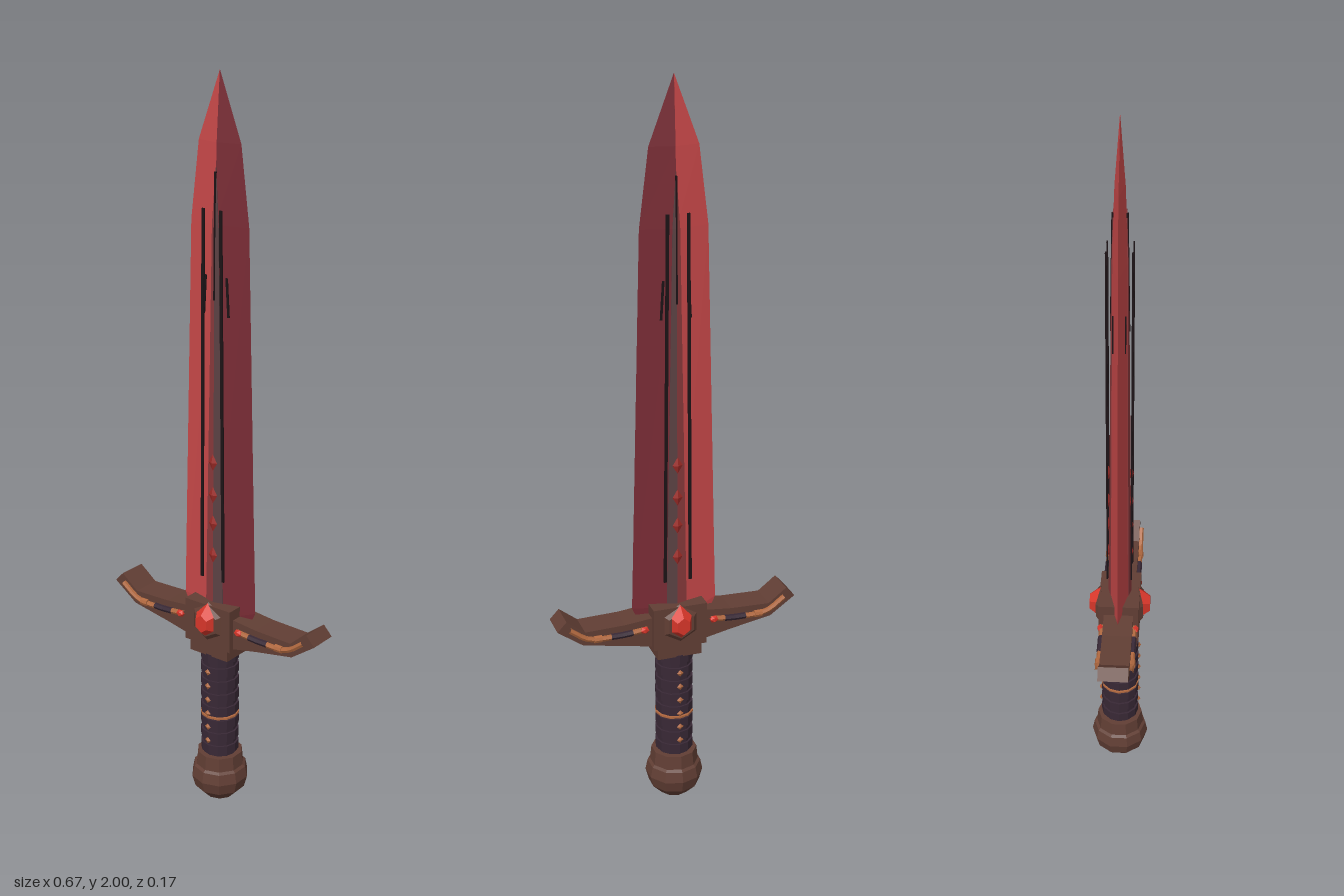
import * as THREE from 'three';

const mat = (name, color) => Object.assign(
  new THREE.MeshStandardMaterial({ color, flatShading: true }), { name });

// Joins equal-length [x, z] cross-sections at rising heights into a closed flat-faced solid.
function loft(rings) {
  const pos = [], n = rings[0].pts.length;
  const p = (r, i) => [r.pts[i % n][0], r.y, r.pts[i % n][1]];
  const tri = (a, b, c) => pos.push(...a, ...b, ...c);
  for (let k = 0; k < rings.length - 1; k++) {
    const lo = rings[k], hi = rings[k + 1];
    for (let i = 0; i < n; i++) {
      tri(p(lo, i), p(hi, i), p(lo, i + 1));
      tri(p(lo, i + 1), p(hi, i), p(hi, i + 1));
    }
  }
  const first = rings[0], last = rings[rings.length - 1];
  for (let i = 1; i < n - 1; i++) {
    tri(p(first, 0), p(first, i), p(first, i + 1));
    tri(p(last, 0), p(last, i + 1), p(last, i));
  }
  const g = new THREE.BufferGeometry();
  g.setAttribute('position', new THREE.Float32BufferAttribute(pos, 3));
  g.computeVertexNormals();
  return g;
}

export function createModel() {
  const root = new THREE.Group();
  root.name = 'sword';
  const bladeLight = mat('blade light red', 0xca494a);
  const bladeDark = mat('blade dark red', 0x782b34);
  const fullerRed = mat('fuller red', 0x8a3a3c);
  const fullerGrey = mat('fuller grey', 0x5a4042);
  const black = mat('groove black', 0x1c1316);
  const brown = mat('guard brown', 0x613e34);
  const grip = mat('grip purple', 0x382835);
  const copper = mat('copper', 0xb0683f);
  const red = mat('gem red', 0xd8362a);
  const inlayRed = mat('inlay red', 0x9c2a26);

  function add(parent, name, geo, material, x = 0, y = 0, z = 0) {
    const m = new THREE.Mesh(geo, material);
    m.name = name;
    m.position.set(x, y, z);
    parent.add(m);
    return m;
  }
  const box = (w, h, d) => new THREE.BoxGeometry(w, h, d);
  const cyl = (top, bottom, h, n) => new THREE.CylinderGeometry(top, bottom, h, n);

  // Blade halves: half-diamond sections of width w and half depth d, with a raised centre band over them
  for (const s of [1, -1]) {
    const side = s > 0 ? 'left' : 'right';
    const half = (y, w, d) => ({ y, pts: [[s * w, 0], [0, s * d], [0, -s * d]] });
    add(root, side + 'BladeHalf', loft([
      half(0.56, 0.1, 0.03), half(0.6, 0.118, 0.03), half(1.63, 0.09, 0.02),
      half(1.83, 0.065, 0.013), half(2, 0.0005, 0.0005),
    ]), s > 0 ? bladeDark : bladeLight);

    const band = (y, w, W, D) => {
      const d = s * (D + 0.0015), e = s * (D * (1 - w / W) + 0.0015);
      return { y, pts: [[s * w, -e], [s * w, e], [0, d], [0, -d]] };
    };
    add(root, side + 'Fuller', loft([
      band(0.6, 0.028, 0.118, 0.03), band(1.63, 0.01, 0.09, 0.02), band(1.77, 0.0005, 0.0725, 0.0152),
    ]), s > 0 ? fullerGrey : fullerRed);
  }

  const diamond = new THREE.OctahedronGeometry(1);
  for (const side of [1, -1]) {
    const face = new THREE.Group();
    face.name = side > 0 ? 'frontDetails' : 'backDetails';
    face.rotation.y = side > 0 ? 0 : Math.PI;
    root.add(face);

    // Thin blade grooves, notches and small red inlays
    for (const s of [-1, 1]) {
      const groove = add(face, 'groove', box(0.008, 0.99, 0.004), black, s * 0.031, 1.175, 0.032);
      groove.rotation.z = s * 0.008;
      const notch = add(face, 'notch', box(0.006, 0.1, 0.003), black, s * 0.036, 1.45, 0.0155);
      notch.rotation.z = s * 0.06;
    }
    add(face, 'ridgeLine', box(0.004, 0.32, 0.006), black, 0, 1.6, 0.0195).rotation.x = -0.015;
    for (const y of [0.75, 0.84, 0.92, 1.01])
      add(face, 'inlay', diamond, inlayRed, 0, y, 0.03).scale.set(0.014, 0.023, 0.006);

    // Faceted gem in its setting
    const setting = add(face, 'gemSetting', cyl(0.04, 0.057, 0.014, 6), brown, 0, 0.562, 0.058);
    setting.rotation.set(Math.PI / 2, 0, 0);
    const gem = add(face, 'gem', cyl(0.02, 0.042, 0.032, 6), red, 0, 0.566, 0.067);
    gem.rotation.x = Math.PI / 2;
    gem.scale.z = 1.25;

    // Inlaid rods along both guard arms
    for (const s of [1, -1]) {
      const path = (...pts) => new THREE.CatmullRomCurve3(
        pts.map(([x, y]) => new THREE.Vector3(s * x, y, 0.044)));
      add(face, 'guardRod', new THREE.TubeGeometry(
        path([0.09, 0.556], [0.16, 0.55], [0.25, 0.553], [0.303, 0.588]), 12, 0.0075, 6), copper);
      add(face, 'guardRodWrap', new THREE.TubeGeometry(
        path([0.13, 0.552], [0.16, 0.55], [0.19, 0.55]), 4, 0.0085, 6), grip);
      add(face, 'rodRing', cyl(0.01, 0.01, 0.022, 8), copper, s * 0.227, 0.55, 0.044).rotation.z = Math.PI / 2;
      add(face, 'guardBead', new THREE.IcosahedronGeometry(1, 0), red, s * 0.098, 0.556, 0.048)
        .scale.set(0.013, 0.011, 0.009);
    }

    // Studs down the grip
    for (let i = 0; i < 6; i++)
      add(face, 'gripStud', diamond, copper, 0, 0.2 + i * 0.042, 0.054).scale.set(0.01, 0.01, 0.005);
  }

  // Guard block and upswept arms
  add(root, 'guardBlock', box(0.15, 0.12, 0.11), brown, 0, 0.552, 0);
  for (const s of [1, -1]) {
    const arm = new THREE.Shape([
      [0.06, 0.495], [0.15, 0.514], [0.265, 0.535], [0.335, 0.585], [0.31, 0.612],
      [0.26, 0.573], [0.15, 0.576], [0.06, 0.585],
    ].map(([x, y]) => new THREE.Vector2(s * x, y)));
    add(root, s > 0 ? 'leftGuardArm' : 'rightGuardArm',
      new THREE.ExtrudeGeometry(arm, { depth: 0.08, bevelEnabled: false }), brown, 0, 0, -0.04);
  }
  add(root, 'guardCollar', box(0.125, 0.045, 0.1), brown, 0, 0.482, 0);

  // Grip with raised wraps
  add(root, 'grip', cyl(0.047, 0.047, 0.34, 12), grip, 0, 0.3, 0);
  for (let i = 0; i < 8; i++)
    add(root, 'gripWrap', cyl(0.0525, 0.0525, 0.026, 12), grip, 0, 0.17 + i * 0.04, 0);
  add(root, 'gripBand', cyl(0.0535, 0.0535, 0.005, 12), copper, 0, 0.27, 0);

  // Pommel
  add(root, 'pommelCollar', cyl(0.063, 0.067, 0.04, 10), brown, 0, 0.13, 0);
  const profile = [[0, 0], [0.042, 0.012], [0.071, 0.042], [0.08, 0.075], [0.074, 0.105], [0.05, 0.125], [0, 0.125]];
  add(root, 'pommel', new THREE.LatheGeometry(profile.map(([x, y]) => new THREE.Vector2(x, y)), 10), brown);
  return root;
}
